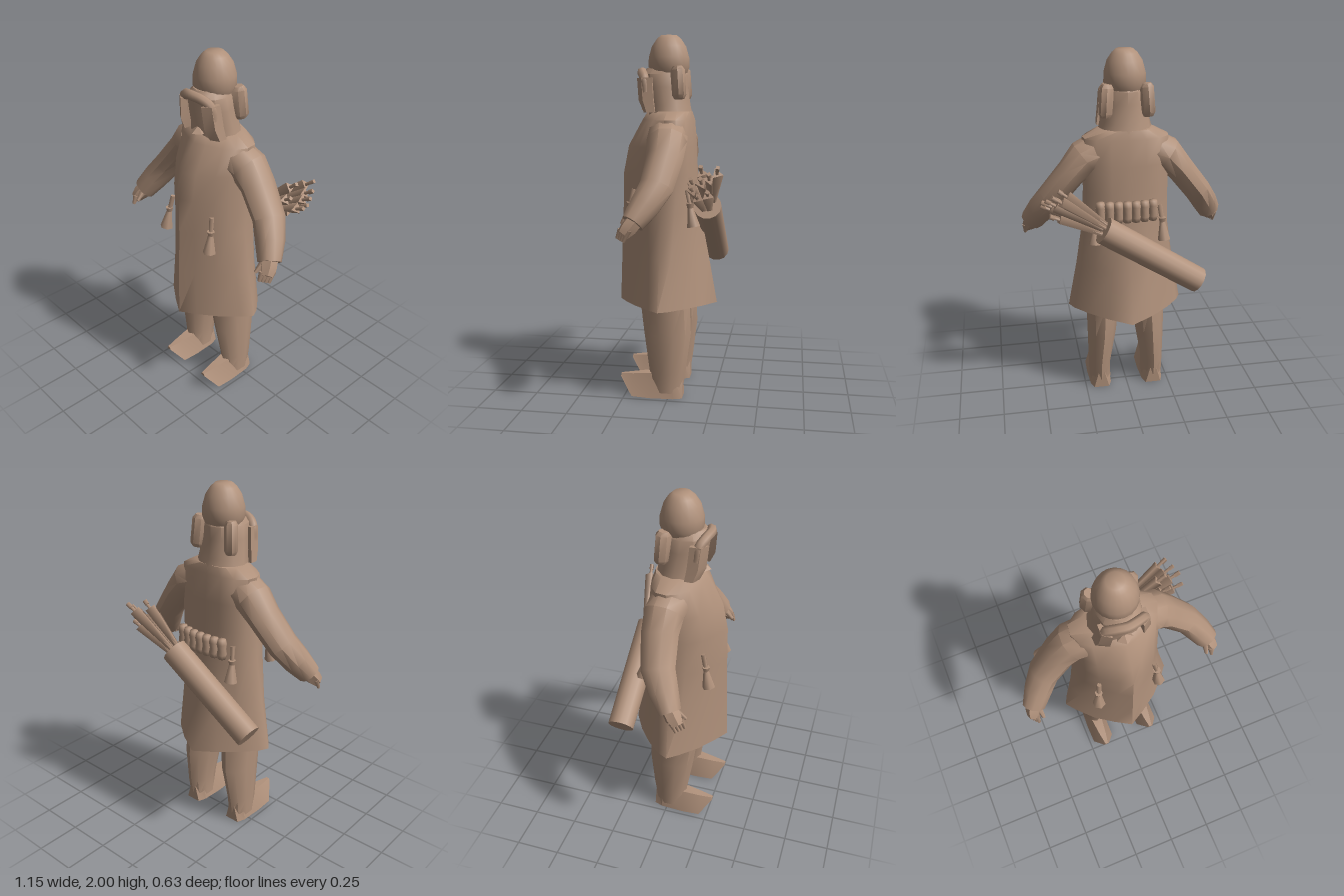
import * as THREE from 'three';
import { toCreasedNormals } from 'three/addons/utils/BufferGeometryUtils.js';

const V = (x, y, z) => new THREE.Vector3(x, y, z);
const cloth = new THREE.MeshStandardMaterial({ color: 0xb0917b, side: THREE.DoubleSide });
cloth.name = 'tanCloth';

// Skin a list of rings (counterclockwise about the travel direction) and cap both ends
function loft(rings, crease = 0.7) {
  const pos = [];
  const tri = (...p) => p.forEach((v) => pos.push(v.x, v.y, v.z));
  const n = rings[0].length;
  const middle = (r) => r.reduce((s, p) => s.add(p), V(0, 0, 0)).divideScalar(n);
  for (let i = 0; i < rings.length - 1; i++) {
    for (let j = 0; j < n; j++) {
      const k = (j + 1) % n;
      const [a, b, c, d] = [rings[i][j], rings[i][k], rings[i + 1][k], rings[i + 1][j]];
      tri(a, b, c);
      tri(a, c, d);
    }
  }
  const first = rings[0], last = rings[rings.length - 1];
  const c0 = middle(first), c1 = middle(last);
  for (let j = 0; j < n; j++) {
    const k = (j + 1) % n;
    tri(c0, first[k], first[j]);
    tri(c1, last[j], last[k]);
  }
  const g = new THREE.BufferGeometry();
  g.setAttribute('position', new THREE.Float32BufferAttribute(pos, 3));
  return toCreasedNormals(g, crease);
}

const mirror = (rings, side) => (side > 0 ? rings
  : rings.map((r) => r.map((p) => V(-p.x, p.y, p.z)).reverse()));

// Rings swept along a path of [x, y, z, depthRadius, heightRadius]
function sweep(path, sides) {
  const c = path.map((p) => V(p[0], p[1], p[2]));
  return path.map((p, i) => {
    const t = c[Math.min(i + 1, c.length - 1)].clone().sub(c[Math.max(i - 1, 0)]).normalize();
    const u = V(0, 0, 1).addScaledVector(t, -t.z).normalize();
    const v = t.clone().cross(u);
    return Array.from({ length: sides }, (_, j) => {
      const a = (j / sides) * Math.PI * 2;
      return c[i].clone().addScaledVector(u, Math.cos(a) * p[3]).addScaledVector(v, Math.sin(a) * p[4]);
    });
  });
}

// Horizontal elliptical ring between a front and a back z
const oval = (y, cx, rx, front, back, sides) => Array.from({ length: sides }, (_, j) => {
  const a = (j / sides) * Math.PI * 2;
  return V(cx + Math.sin(a) * rx, y, (front + back) / 2 + Math.cos(a) * (front - back) / 2);
});

export function createModel() {
  const root = new THREE.Group();
  const add = (name, geometry, parent = root) => {
    const m = new THREE.Mesh(geometry, cloth);
    m.name = name;
    parent.add(m);
    return m;
  };
  const rod = (name, p, q, r0, r1, sides, parent = root) => {
    const m = add(name, new THREE.CylinderGeometry(r1, r0, p.distanceTo(q), sides), parent);
    m.position.copy(p).lerp(q, 0.5);
    m.quaternion.setFromUnitVectors(V(0, 1, 0), q.clone().sub(p).normalize());
    return m;
  };

  // Long coat: a rounded chest section turns into a diamond at the hem.
  // Half outlines hold [width share, z share]; rows hold [y, width, front, back, diamond share]
  const round = [[0, 1], [0.28, 0.87], [0.66, 0.66], [0.88, 0.42], [1, 0.08],
    [0.96, -0.4], [0.72, -0.8], [0.4, -0.96], [0, -1]];
  const diamond = [[0, 1], [0.28, 0.83], [0.6, 0.6], [0.87, 0.3], [1, 0.12],
    [0.92, -0.06], [0.7, -0.39], [0.38, -0.72], [0, -1]];
  const coatRing = ([y, w, f, b, share]) => {
    const half = round.map(([x, z], i) => {
      const px = THREE.MathUtils.lerp(x, diamond[i][0], share) * w;
      const pz = THREE.MathUtils.lerp(z, diamond[i][1], share);
      return V(px, y - (1 - Math.min(px / 0.2, 1)) * share * 0.015, pz * (pz > 0 ? f : b));
    });
    return [...half, ...half.slice(1, -1).reverse().map((p) => V(-p.x, p.y, p.z))];
  };
  add('coat', loft([[0.525, 0.332, 0.31, 0.25, 1], [0.8, 0.28, 0.3, 0.2, 0.8], [1.05, 0.243, 0.29, 0.15, 0.35],
    [1.25, 0.235, 0.285, 0.13, 0], [1.4, 0.235, 0.255, 0.125, 0], [1.545, 0.236, 0.175, 0.112, 0],
    [1.59, 0.15, 0.145, 0.1, 0]].map(coatRing), 1.05));

  // Hood around the neck and face
  const hood = [[1.55, 0.155, 0.14, -0.11], [1.62, 0.138, 0.145, -0.095], [1.72, 0.122, 0.168, -0.08],
    [1.79, 0.112, 0.18, -0.08], [1.825, 0.085, 0.15, -0.06]];
  add('hood', loft(hood.map(([y, w, f, b]) => oval(y, 0, w, f, b, 12))));

  // Egg-shaped cap with a small flat crown
  const capProfile = [[0.1, 1.795], [0.114, 1.83], [0.112, 1.88], [0.095, 1.94], [0.068, 1.98], [0.045, 2], [0, 2]];
  const cap = add('cap', toCreasedNormals(new THREE.LatheGeometry(
    capProfile.map(([r, y]) => new THREE.Vector2(r, y)), 20), 0.8));
  cap.position.z = 0.026;

  // Arched hood rim over the face, and nose
  const rim = new THREE.CatmullRomCurve3([V(-0.108, 1.69, 0.135), V(-0.098, 1.765, 0.145), V(-0.055, 1.796, 0.165),
    V(0, 1.804, 0.177), V(0.055, 1.796, 0.165), V(0.098, 1.765, 0.145), V(0.108, 1.69, 0.135)]);
  add('hoodRim', new THREE.TubeGeometry(rim, 20, 0.026, 7));
  const nose = add('nose', toCreasedNormals(new THREE.ConeGeometry(0.045, 0.035, 5), 0.3));
  nose.position.set(0, 1.615, 0.14);

  for (const s of [1, -1]) {
    const side = s > 0 ? 'left' : 'right';

    // Hanging hood edge beside the face
    const lappet = [[0.122, 1.585, 0.115, 0.024, 0.035], [0.112, 1.65, 0.135, 0.024, 0.045],
      [0.1, 1.77, 0.145, 0.022, 0.045]]
      .map(([x, y, z, w, d]) => [V(x - w, y, z + d), V(x + w, y, z + d * 0.3), V(x + w, y, z - d), V(x - w, y, z - d)]);
    add(side + 'Lappet', loft(mirror(lappet, s), 0.3));

    // Ear flap set diagonally behind the cap
    const flap = add(side + 'EarFlap', loft([[1.655, 0.03, 0.026], [1.675, 0.045, 0.036], [1.81, 0.045, 0.036],
      [1.83, 0.03, 0.026]].map(([y, w, d]) => oval(y - 1.742, 0, w, d, -d, 8))));
    flap.position.set(s * 0.108, 1.742, -0.042);
    flap.rotation.set(0, s * Math.PI / 4, s * 0.1);

    // Sleeve, cuff and hand
    add(side + 'Sleeve', loft(mirror(sweep([[0.16, 1.455, 0.01, 0.11, 0.105], [0.228, 1.43, 0, 0.108, 0.098],
      [0.3, 1.35, 0, 0.1, 0.08], [0.41, 1.21, 0.025, 0.092, 0.077], [0.47, 1.12, 0.075, 0.08, 0.075],
      [0.518, 1.04, 0.125, 0.06, 0.066]], 10), s)));
    add(side + 'Hand', loft(mirror(sweep([[0.505, 1.06, 0.11, 0.045, 0.05], [0.53, 1.015, 0.145, 0.045, 0.046],
      [0.545, 0.985, 0.17, 0.034, 0.032]], 6), s), 0.4));
    for (let i = 0; i < 4; i++) {
      rod(side + 'Finger', V(s * (0.525 + i * 0.011), 1.01, 0.185 - i * 0.016),
        V(s * (0.525 + i * 0.011), 0.962 - i * 0.004, 0.205 - i * 0.013), 0.017, 0.009, 5);
    }
    rod(side + 'Thumb', V(s * 0.5, 1.04, 0.15), V(s * 0.492, 0.995, 0.2), 0.02, 0.01, 5);

    // Trouser leg
    const leg = [[0.03, 0.158, 0.064, 0.1, -0.076], [0.14, 0.16, 0.064, 0.112, -0.092],
      [0.36, 0.143, 0.084, 0.145, -0.12], [0.56, 0.132, 0.098, 0.17, -0.11]];
    add(side + 'Leg', loft(leg.map(([y, x, w, f, b]) => oval(y, s * x, w, f, b, 10))));

    // Boot with an upturned pointed toe: [z, bottom, top, bottom half width, top half width]
    const boot = [[-0.078, 0, 0.1, 0.045, 0.018], [-0.03, 0, 0.12, 0.062, 0.045], [0.1, 0, 0.135, 0.068, 0.032],
      [0.205, 0.005, 0.122, 0.066, 0.02], [0.275, 0.1, 0.115, 0.016, 0.008]]
      .map(([z, b, t, w, u]) => [V(0.158 - w, b, z), V(0.158 + w, b, z), V(0.158 + u, t, z), V(0.158 - u, t, z)]);
    add(side + 'Boot', loft(mirror(boot, s), 0.5));

    // Tassels at the front and back of the waist
    for (const [name, x, z, lean] of [['FrontTassel', 0.172, 0.215, 0.02], ['BackTassel', 0.185, -0.12, -0.02]]) {
      const g = new THREE.Group();
      g.name = side + name;
      root.add(g);
      rod('cord', V(s * (x - 0.012), 1.17, z - lean), V(s * x, 1.08, z), 0.014, 0.012, 5, g);
      rod('knot', V(s * x, 1.1, z), V(s * x, 1.075, z), 0.022, 0.016, 6, g);
      rod('fringe', V(s * (x + 0.008), 0.975, z + lean), V(s * x, 1.08, z), 0.036, 0.014, 6, g);
    }
  }

  // Row of rolled pouches across the back
  for (let i = 0; i < 7; i++) {
    const x = -0.128 + i * 0.048;
    const roll = add('pouchRoll', new THREE.LatheGeometry([[0, -0.06], [0.022, -0.057], [0.028, -0.03],
      [0.023, 0], [0.028, 0.03], [0.022, 0.057], [0, 0.06]].map((p) => new THREE.Vector2(...p)), 8));
    roll.position.set(x, 1.155, -0.15 + x * x * 0.8);
  }

  // Slanted quiver
  const foot = V(-0.378, 0.742, -0.21), mouth = V(0.155, 1.085, -0.21);
  rod('quiver', foot, mouth, 0.072, 0.076, 14);

  // Arrows fanning out of the quiver, each with a feathered end
  const fanCentre = V(0.43, 1.25, -0.21);
  const tips = [[0.47, 1.26, -0.21], [0.42, 1.31, -0.29], [0.45, 1.28, -0.25], [0.38, 1.31, -0.2],
    [0.47, 1.22, -0.16], [0.43, 1.19, -0.24], [0.39, 1.25, -0.15], [0.4, 1.17, -0.18]];
  tips.forEach(([x, y, z], i) => {
    const g = new THREE.Group();
    g.name = 'arrow';
    root.add(g);
    const tip = V(x, y, z);
    const base = mouth.clone().addScaledVector(tip.clone().sub(fanCentre), 0.4);
    rod('shaft', base, tip, 0.01, 0.009, 5, g);
    rod('feathers', base, base.clone().lerp(tip, 0.86), 0.014, 0.034, 3, g).rotateY(i);
    const nock = rod('nock', base.clone().lerp(tip, 0.95), base.clone().lerp(tip, 1.04), 0.013, 0.013, 4, g);
    nock.rotateY(i * 0.7);
  });

  return root;
}
